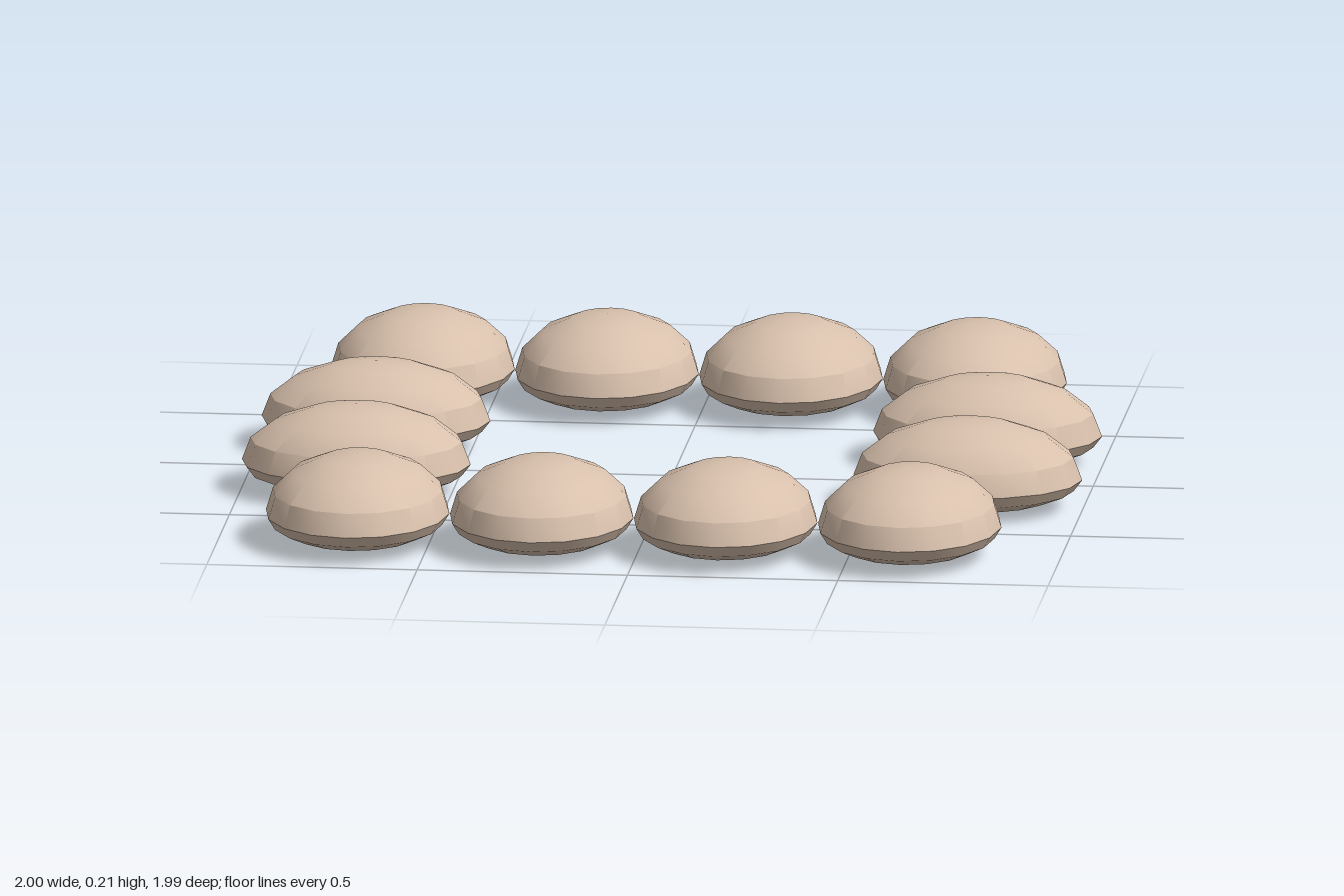
import * as THREE from 'three';
import { toCreasedNormals } from 'three/addons/utils/BufferGeometryUtils.js';

// Pebble: a sphere squashed to an ellipsoid, its lower half flattened further
function pebbleGeometry() {
  const geometry = new THREE.SphereGeometry(1, 16, 8);
  const p = geometry.attributes.position;
  for (let i = 0; i < p.count; i++) {
    const y = p.getY(i);
    p.setXYZ(i, p.getX(i) * 0.218, 0.071 + y * (y < 0 ? 0.071 : 0.141), p.getZ(i) * 0.272);
  }
  return toCreasedNormals(geometry, THREE.MathUtils.degToRad(30));
}

export function createModel() {
  const model = new THREE.Group();
  model.name = 'stoneBorder';
  const geometry = pebbleGeometry();
  const material = new THREE.MeshStandardMaterial({ color: 0xd8c0ac });

  function addStone(name, x, z, turn = 0) {
    const stone = new THREE.Mesh(geometry, material);
    stone.name = name;
    stone.position.set(x, 0, z);
    stone.rotation.y = turn;
    model.add(stone);
  }

  // Front and back rows of four
  for (let i = 0; i < 4; i++) {
    const x = -0.671 + i * 0.4375;
    addStone(`frontStone${i + 1}`, x, 0.722);
    addStone(`backStone${i + 1}`, x, -0.725);
  }

  // Two stones on each side, turned sideways
  for (let i = 0; i < 2; i++) {
    const z = -0.206 + i * 0.4375;
    addStone(`leftStone${i + 1}`, 0.727, z, Math.PI / 2);
    addStone(`rightStone${i + 1}`, -0.727, z, Math.PI / 2);
  }
  return model;
}
